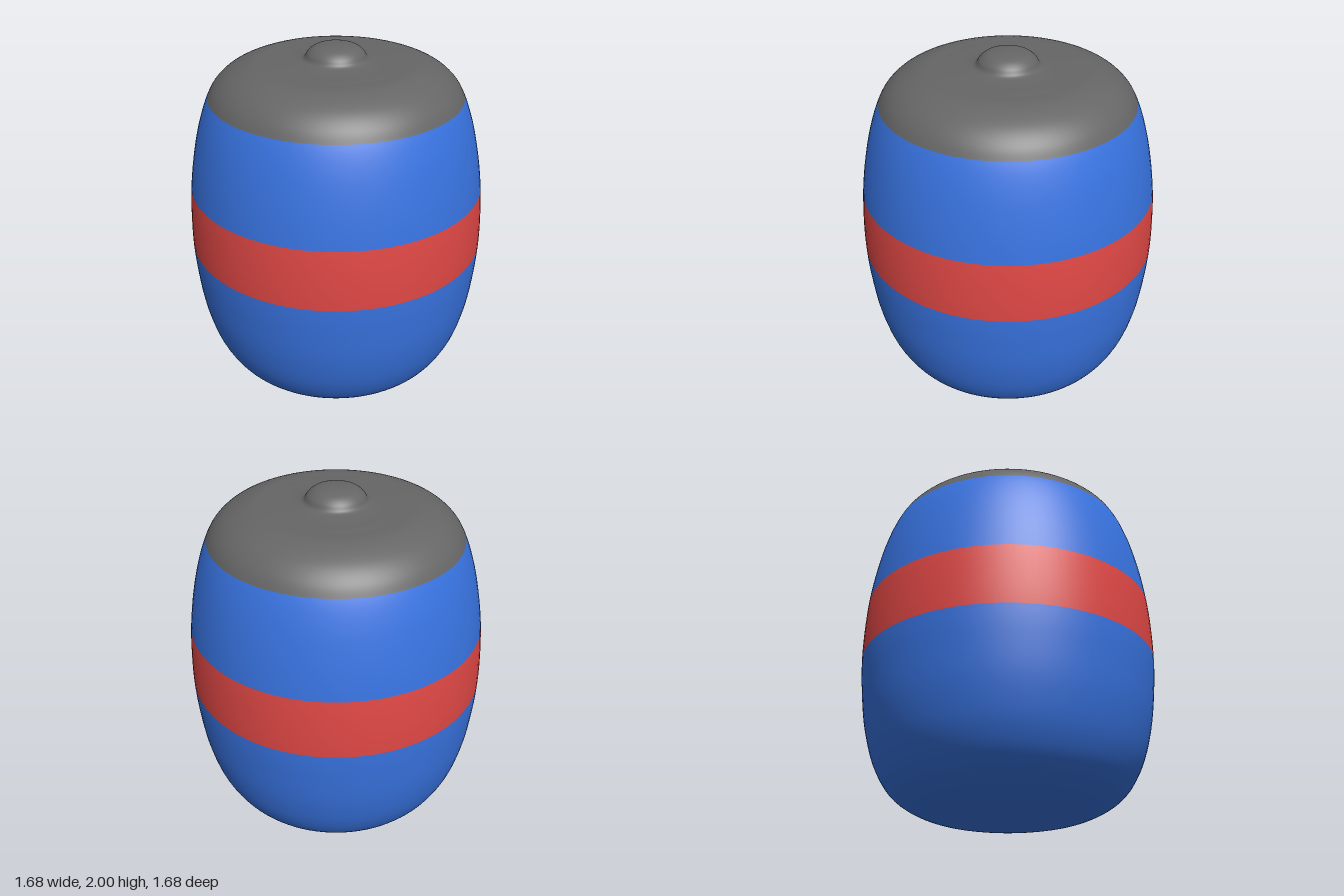
import * as THREE from 'three';

// Barrel outline from the bottom centre to the knob's top: [radius, height]
const OUTLINE = [
  [0, 0], [0.28, 0.003], [0.47, 0.02], [0.635, 0.11], [0.73, 0.25], [0.795, 0.46], [0.828, 0.7],
  [0.838, 0.86],                                   // 7: lower edge of the stripe
  [0.836, 1.03],
  [0.824, 1.205],                                  // 9: upper edge of the stripe
  [0.795, 1.4], [0.75, 1.59],
  [0.7, 1.725],                                    // 12: lid seam
  [0.66, 1.79], [0.59, 1.85], [0.47, 1.897], [0.36, 1.906], [0.22, 1.914],
  [0.175, 1.925], [0.152, 1.958], [0.115, 1.985], [0.05, 1.998], [0, 2],
];
const curve = new THREE.CatmullRomCurve3(OUTLINE.map(([r, y]) => new THREE.Vector3(r, y, 0)));

// Lathe the stretch of outline between two of its points
function band(name, from, to, color) {
  const steps = (to - from) * 6;
  const points = [];
  for (let i = 0; i <= steps; i++) {
    const p = curve.getPoint((from + i / 6) / (OUTLINE.length - 1));
    points.push(new THREE.Vector2(Math.max(0, p.x), Math.max(0, p.y)));
  }
  const mesh = new THREE.Mesh(
    new THREE.LatheGeometry(points, 96),
    new THREE.MeshStandardMaterial({ color }),
  );
  mesh.name = name;
  return mesh;
}

export function createModel() {
  const model = new THREE.Group();
  model.name = 'barrel';
  model.add(
    band('lowerBody', 0, 7, 0x3873e0),
    band('stripe', 7, 9, 0xe04845),
    band('upperBody', 9, 12, 0x3873e0),
    band('lidWithKnob', 12, OUTLINE.length - 1, 0x666666),
  );
  return model;
}
